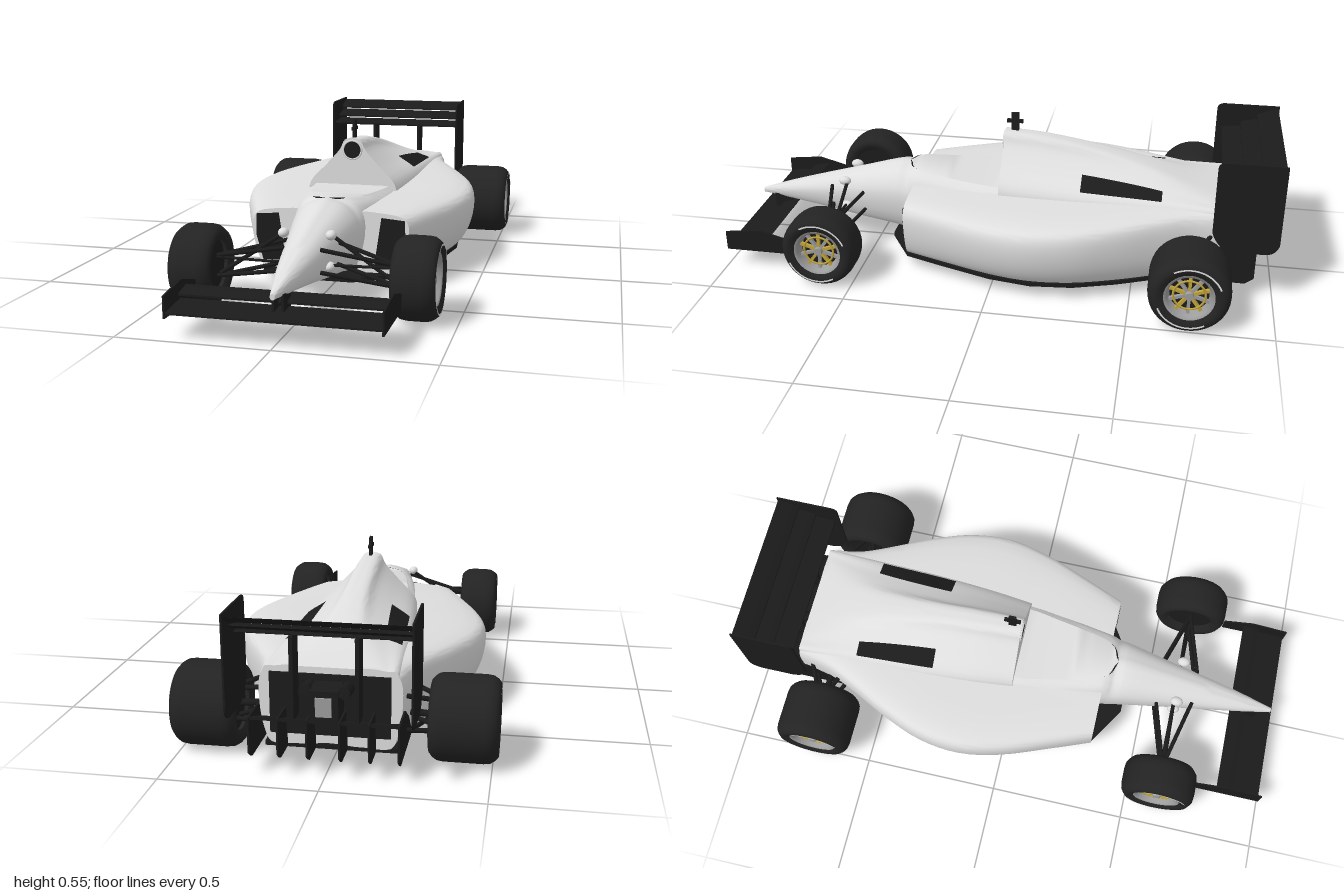
import * as THREE from 'three';
import { toCreasedNormals } from 'three/addons/utils/BufferGeometryUtils.js';

const paint = (name, color) => new THREE.MeshStandardMaterial({ name, color, side: THREE.DoubleSide });
const white = paint('white bodywork', 0xdedede);
const black = paint('black carbon', 0x1b1b1b);
const rubber = paint('tyre rubber', 0x232323);
const silver = paint('silver metal', 0x9c9c9c);
const gold = paint('gold metal', 0xc2a53a);

const V = (x, y, z) => new THREE.Vector3(x, y, z);

function add(parent, name, geometry, material, x = 0, y = 0, z = 0) {
  const mesh = new THREE.Mesh(geometry, material);
  mesh.name = name;
  mesh.position.set(x, y, z);
  parent.add(mesh);
  return mesh;
}

// Smooths half cross-sections [z, [x, y]...] along and across the car
function smoothRings(sections, step = 4) {
  const n = sections[0].pts.length;
  const along = [];
  for (let j = 0; j < n; j++) {
    const curve = new THREE.CatmullRomCurve3(sections.map(s => V(s.pts[j][0], s.pts[j][1], s.z)));
    along.push(curve.getPoints((sections.length - 1) * step));
  }
  return along[0].map((_, i) =>
    new THREE.CatmullRomCurve3(along.map(line => line[i])).getPoints((n - 1) * step));
}

const flip = ring => ring.map(p => V(-p.x, p.y, p.z)).reverse();
const whole = ring => [...ring, ...flip(ring)];

// Skins a row of rings, listed from front to back, with optional end caps
function skin(rings, capFront = false, capBack = false) {
  const n = rings[0].length, pos = [], idx = [];
  const put = p => pos.push(p.x, p.y, p.z) / 3 - 1;
  rings.forEach(r => r.forEach(put));
  for (let i = 0; i < rings.length - 1; i++)
    for (let j = 0; j < n - 1; j++) {
      const a = i * n + j, d = a + n;
      idx.push(a, d, a + 1, a + 1, d, d + 1);
    }
  const cap = (ring, back) => {
    const mid = ring.reduce((s, p) => s.add(p), V(0, 0, 0)).divideScalar(n);
    const c = put(mid), first = pos.length / 3;
    ring.forEach(put);
    for (let j = 0; j < n; j++) {
      const p = first + j, q = first + (j + 1) % n;
      idx.push(c, back ? q : p, back ? p : q);
    }
  };
  if (capFront) cap(rings[0], false);
  if (capBack) cap(rings[rings.length - 1], true);
  const g = new THREE.BufferGeometry();
  g.setAttribute('position', new THREE.Float32BufferAttribute(pos, 3));
  g.setIndex(idx);
  return toCreasedNormals(g, 0.7);
}

// Side outline (z, y) given thickness across x
function sideways(shape, width) {
  return new THREE.ExtrudeGeometry(shape, { depth: width, bevelEnabled: false, curveSegments: 8 })
    .translate(0, 0, -width / 2).rotateY(-Math.PI / 2);
}
const outline = pts => new THREE.Shape(pts.map(p => new THREE.Vector2(...p)));

function foil(z0, y0, z1, y1, span) {
  const s = new THREE.Shape(), mz = z0 * 0.6 + z1 * 0.4, my = (y0 + y1) / 2;
  s.moveTo(z0, y0);
  s.quadraticCurveTo(mz, my - 0.022, z1, y1);
  s.quadraticCurveTo(mz, my + 0.004, z0, y0 + 0.006);
  return sideways(s, span);
}

function strut(parent, name, a, b, r, material = black) {
  const d = b.clone().sub(a);
  const mesh = add(parent, name, new THREE.CylinderGeometry(r, r, d.length(), 8), material);
  mesh.position.copy(a).add(b).multiplyScalar(0.5);
  mesh.quaternion.setFromUnitVectors(V(0, 1, 0), d.normalize());
}

// Wheel with its outer face towards +x
function wheel(r, hw) {
  const g = new THREE.Group();
  const turn = pts => new THREE.LatheGeometry(pts.map(p => new THREE.Vector2(...p)), 40).rotateZ(-Math.PI / 2);
  add(g, 'tyre', turn([[0.084, -hw + 0.012], [0.1, -hw + 0.002], [0.116, -hw], [r - 0.012, -hw + 0.01], [r - 0.003, -hw + 0.024],
    [r, -hw + 0.045], [r, hw - 0.045], [r - 0.003, hw - 0.024], [r - 0.012, hw - 0.01], [0.116, hw], [0.1, hw - 0.002], [0.084, hw - 0.012]]), rubber);
  add(g, 'rim', turn([[0.066, hw - 0.045], [0.076, hw - 0.012], [0.086, hw - 0.008]]), silver);
  add(g, 'innerDisc', new THREE.CylinderGeometry(0.086, 0.086, 0.01, 32).rotateZ(Math.PI / 2), black, -hw + 0.03);
  add(g, 'rimDisc', new THREE.CylinderGeometry(0.07, 0.07, 0.01, 32).rotateZ(Math.PI / 2), black, hw - 0.048);
  for (let i = 0; i < 10; i++) {
    const spoke = add(g, 'spoke', new THREE.BoxGeometry(0.012, 0.062, 0.011).translate(0, 0.043, 0), i % 2 ? silver : gold, hw - 0.034);
    spoke.rotation.x = i * Math.PI / 5;
  }
  add(g, 'goldRing', new THREE.TorusGeometry(0.054, 0.004, 6, 32).rotateY(Math.PI / 2), gold, hw - 0.028);
  add(g, 'hub', new THREE.CylinderGeometry(0.014, 0.018, 0.03, 16).rotateZ(-Math.PI / 2), silver, hw - 0.03);
  for (const start of [0.4, 0.4 + Math.PI])
    add(g, 'sidewallStripe', new THREE.RingGeometry(0.108, 0.114, 20, 1, start, 1.7).rotateY(Math.PI / 2), white, hw + 0.002);
  return g;
}

export function createModel() {
  const car = new THREE.Group();
  car.name = 'racingCar';

  // Nose and tub: z, bottom, top, half width, half width of cockpit opening
  const tub = [[0.975, 0.145, 0.165, 0.008, 0], [0.85, 0.135, 0.207, 0.035, 0], [0.7, 0.12, 0.252, 0.062, 0],
    [0.55, 0.1, 0.295, 0.087, 0], [0.4, 0.085, 0.335, 0.115, 0], [0.365, 0.078, 0.334, 0.121, 0], [0.34, 0.074, 0.33, 0.126, 0.055],
    [0.25, 0.066, 0.32, 0.145, 0.092], [0.12, 0.062, 0.312, 0.168, 0.12], [0, 0.062, 0.31, 0.185, 0.14],
    [-0.4, 0.062, 0.31, 0.212, 0.14], [-0.81, 0.07, 0.312, 0.218, 0.14]];
  const tubRings = smoothRings(tub.map(([z, b, t, w, r]) => ({ z, pts: [[0, b], [w * 0.65, b + 0.002],
    [w, b + (t - b) * 0.6], [r + (w - r) * 0.65, t - (t - b) * 0.12], [r, t]] })));
  add(car, 'noseAndTub', skin(tubRings.map(whole), true, true), white);

  // Cockpit lining
  const lining = smoothRings(tub.slice(5, 10).map(([z, , t, , r]) => ({ z: z + 0.004, pts: [[0, 0.12], [r * 0.9, 0.14], [r, t - 0.001]] })));
  add(car, 'cockpitLining', skin(lining.map(whole), false, true), black);
  const steering = add(car, 'steeringWheel', new THREE.TorusGeometry(0.04, 0.006, 8, 20), black, 0, 0.26, 0.24);
  steering.rotation.x = -0.4;
  const seat = add(car, 'seat', new THREE.BoxGeometry(0.16, 0.17, 0.02), black, 0, 0.2, 0.05);
  seat.rotation.x = -0.3;

  // Engine cover: z, half width, crown height, crown half width
  const cover = [[0, 0.172, 0.488, 0.04], [-0.15, 0.19, 0.476, 0.045], [-0.35, 0.205, 0.442, 0.05],
    [-0.55, 0.212, 0.392, 0.07], [-0.7, 0.216, 0.346, 0.1], [-0.81, 0.218, 0.32, 0.13]];
  const coverRings = smoothRings(cover.map(([z, w, t, k]) => {
    const h = t - 0.315, x = k * 1.2;
    return { z, pts: [[w, 0.25], [w * 0.95, 0.315], [x + (w - x) * 0.4, 0.315 + h * 0.42], [x, t - h * 0.25], [k * 0.75, t - h * 0.05], [0, t]] };
  }));
  add(car, 'engineCover', skin(coverRings.map(whole), true, true), white);
  const vent = coverRings.slice(7, 14).map(r => r.slice(5, 9).map(p => V(p.x + 0.002, p.y + 0.004, p.z)));
  add(car, 'leftVent', skin(vent), black);
  add(car, 'rightVent', skin(vent.map(flip)), black);
  add(car, 'airIntake', new THREE.CircleGeometry(0.034, 24), black, 0, 0.442, 0.004);
  add(car, 'intakeLip', new THREE.TorusGeometry(0.035, 0.004, 8, 24), white, 0, 0.442, 0.002);
  add(car, 'cameraPost', new THREE.BoxGeometry(0.01, 0.075, 0.028), black, 0, 0.515, -0.035);
  add(car, 'cameraBar', new THREE.BoxGeometry(0.012, 0.012, 0.06), black, 0, 0.52, -0.035);

  // Sidepods: z, half width, top height
  const pod = [[0.33, 0.282, 0.272], [0.2, 0.335, 0.278], [0, 0.41, 0.285], [-0.15, 0.437, 0.292], [-0.3, 0.42, 0.298],
    [-0.45, 0.363, 0.304], [-0.6, 0.288, 0.309], [-0.7, 0.245, 0.311], [-0.81, 0.225, 0.313]];
  const podRings = smoothRings(pod.map(([z, w, t]) => ({ z, pts: [[0.1, 0.064], [w * 0.84, 0.064], [w * 0.94, 0.11],
    [w, 0.2], [w * 0.985, t - 0.03], [w * 0.92, t - 0.008], [0.15, t + 0.008], [0.1, t + 0.01]] })));
  for (const s of [1, -1]) {
    const side = s > 0 ? 'left' : 'right';
    add(car, side + 'Sidepod', skin(s > 0 ? podRings : podRings.map(flip), true, true), white);
    const inlet = outline([[0.16 * s, 0.09], [0.245 * s, 0.09], [0.27 * s, 0.18], [0.268 * s, 0.255], [0.185 * s, 0.262]]);
    add(car, side + 'Inlet', new THREE.ShapeGeometry(inlet), black, 0, 0, 0.334);
  }

  // Flat floor following the sidepods
  const edge = pod.map(([z, w]) => new THREE.Vector2(Math.max(w * 0.87, 0.21), -z));
  const floorShape = new THREE.Shape([new THREE.Vector2(0.1, -0.42), ...edge,
    ...edge.map(p => new THREE.Vector2(-p.x, p.y)).reverse(), new THREE.Vector2(-0.1, -0.42)]);
  add(car, 'floor', new THREE.ExtrudeGeometry(floorShape, { depth: 0.014, bevelEnabled: false }).rotateX(-Math.PI / 2), black, 0, 0.05, 0);

  // Diffuser, tail panel and gearbox
  add(car, 'diffuserRoof', sideways(outline([[-0.6, 0.055], [-0.92, 0.18], [-0.92, 0.19], [-0.6, 0.07]]), 0.46), black);
  for (const x of [-0.23, -0.14, -0.05, 0.05, 0.14, 0.23])
    add(car, 'diffuserFin', sideways(outline([[-0.58, 0.052], [-0.9, 0.052], [-0.93, 0.075], [-0.93, 0.19], [-0.8, 0.19]]), 0.006), black, x);
  add(car, 'tailPanel', new THREE.BoxGeometry(0.38, 0.2, 0.008), black, 0, 0.2, -0.816);
  add(car, 'gearbox', new THREE.BoxGeometry(0.09, 0.1, 0.1), black, 0, 0.23, -0.86);
  add(car, 'gearboxPlate', new THREE.BoxGeometry(0.05, 0.06, 0.008), silver, 0, 0.23, -0.912);

  // Rear wing
  [[-0.79, 0.435, -0.9, 0.45], [-0.86, 0.46, -0.95, 0.485], [-0.92, 0.492, -0.995, 0.525]]
    .forEach(f => add(car, 'rearWingFoil', foil(...f, 0.555), black));
  const rearPlate = new THREE.Shape();
  rearPlate.moveTo(-0.77, 0.27);
  rearPlate.lineTo(-0.77, 0.51);
  rearPlate.quadraticCurveTo(-0.77, 0.533, -0.8, 0.533);
  rearPlate.lineTo(-1, 0.533);
  rearPlate.lineTo(-1, 0.24);
  rearPlate.quadraticCurveTo(-0.99, 0.2, -0.95, 0.2);
  rearPlate.lineTo(-0.84, 0.2);
  rearPlate.quadraticCurveTo(-0.79, 0.21, -0.77, 0.27);

  // Front wing
  add(car, 'frontWingMain', foil(0.99, 0.08, 0.87, 0.098, 0.67), black);
  add(car, 'frontWingFlap', foil(0.89, 0.11, 0.825, 0.13, 0.67), black);
  const frontPlate = outline([[0.995, 0.068], [0.995, 0.14], [0.86, 0.155], [0.75, 0.125], [0.75, 0.068]]);

  for (const s of [1, -1]) {
    const P = (x, y, z) => V(x * s, y, z);
    add(car, 'rearEndplate', sideways(rearPlate, 0.006), black, 0.278 * s);
    add(car, 'frontEndplate', sideways(frontPlate, 0.006), black, 0.336 * s);
    add(car, 'rearWingPylon', new THREE.BoxGeometry(0.012, 0.27, 0.07), black, 0.1 * s, 0.31, -0.865);
    add(car, 'frontWingPylon', new THREE.BoxGeometry(0.008, 0.06, 0.07), black, 0.015 * s, 0.12, 0.89);
    strut(car, 'exhaust', P(0.06, 0.26, -0.8), P(0.06, 0.275, -0.9), 0.02);

    // Wheels
    for (const [name, x, r, hw, z] of [['frontWheel', 0.367, 0.137, 0.072, 0.61], ['rearWheel', 0.41, 0.14, 0.108, -0.705]]) {
      const w = wheel(r, hw);
      w.name = name;
      w.position.set(x * s, r, z);
      if (s < 0) w.rotation.y = Math.PI;
      car.add(w);
    }

    // Front suspension
    for (const z of [0.53, 0.67]) {
      strut(car, 'frontUpperArm', P(0.06, 0.225, z), P(0.31, 0.17, 0.61), 0.007);
      strut(car, 'frontLowerArm', P(0.06, 0.15, z), P(0.31, 0.1, 0.61), 0.007);
    }
    strut(car, 'frontPushrod', P(0.07, 0.265, 0.6), P(0.3, 0.11, 0.61), 0.007);
    strut(car, 'steeringRod', P(0.06, 0.16, 0.61), P(0.31, 0.165, 0.615), 0.005);
    for (const [x, y] of [[0.08, 0.26], [0.075, 0.155]])
      add(car, 'armFairing', new THREE.SphereGeometry(0.018, 16, 10).scale(1, 0.9, 1.3), white, x * s, y, 0.61);

    // Rear suspension
    for (const z of [-0.62, -0.79]) {
      strut(car, 'rearUpperArm', P(0.18, 0.24, z), P(0.36, 0.19, -0.705), 0.008);
      strut(car, 'rearLowerArm', P(0.18, 0.12, z), P(0.36, 0.09, -0.705), 0.008);
    }
    strut(car, 'driveShaft', P(0.1, 0.16, -0.705), P(0.38, 0.14, -0.705), 0.012);
  }
  return car;
}
